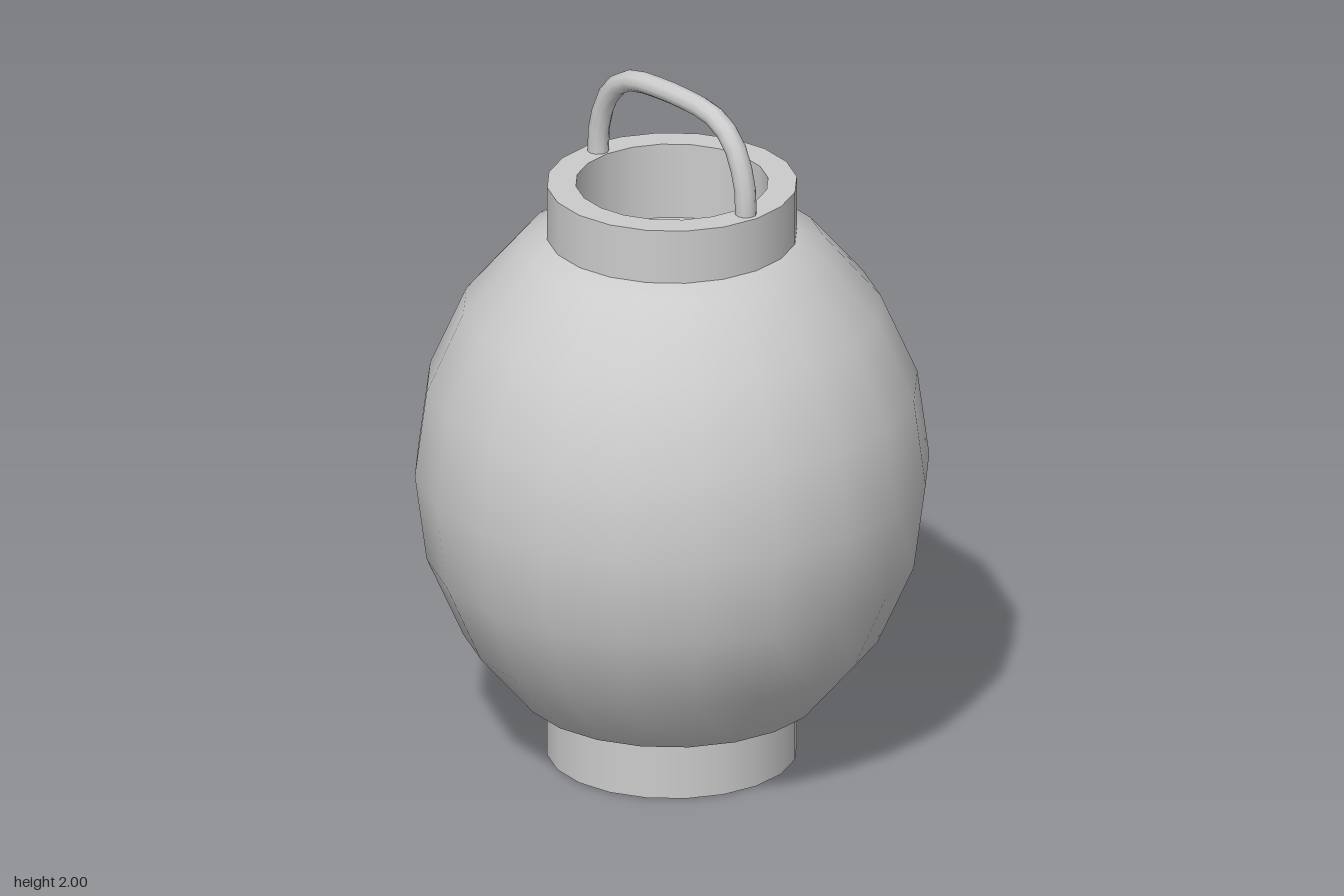
import * as THREE from 'three';
import { mergeGeometries } from 'three/addons/utils/BufferGeometryUtils.js';

const SIDES = 20;
const material = new THREE.MeshStandardMaterial({ color: 0xcccccc });

const lathe = (pts) => new THREE.LatheGeometry(pts.map(([r, y]) => new THREE.Vector2(r, y)), SIDES);

// Each profile segment becomes its own band, so the rims stay sharp
function sharpLathe(pts) {
  return mergeGeometries(pts.slice(1).map((p, i) => lathe([pts[i], p])));
}

function addMesh(group, name, geometry) {
  const mesh = new THREE.Mesh(geometry, material);
  mesh.name = name;
  group.add(mesh);
  return mesh;
}

export function createModel() {
  const group = new THREE.Group();
  group.name = 'lantern';

  // Rounded body, mirrored about its middle
  const midY = 0.855;
  const upper = [[0.715, 0], [0.682, 0.25], [0.58, 0.482], [0.42, 0.67], [0.335, 0.697]];
  const lower = upper.slice(1).reverse().map(([r, y]) => [r, -y]);
  addMesh(group, 'body', lathe([...lower, ...upper])).position.y = midY;

  // Hollow collars with a recessed floor; the lower one is turned over
  const depth = 0.22, outer = 0.347, inner = 0.267;
  const collar = sharpLathe([[outer, 0], [outer, depth], [inner, depth], [inner, 0], [0, 0]]);
  addMesh(group, 'topCollar', collar).position.y = 1.705 - depth;
  const base = addMesh(group, 'bottomCollar', collar);
  base.rotation.x = Math.PI;
  base.position.y = depth;

  // Carrying handle, its feet sunk into the top collar
  const half = [[0.303, 1.66], [0.296, 1.79], [0.25, 1.9], [0.175, 1.955], [0.07, 1.97]];
  const path = [...half.map(([x, y]) => [-x, y]), ...half.slice().reverse()];
  const curve = new THREE.CatmullRomCurve3(path.map(([x, y]) => new THREE.Vector3(x, y, 0)));
  addMesh(group, 'handle', new THREE.TubeGeometry(curve, 18, 0.03, 10));

  return group;
}
